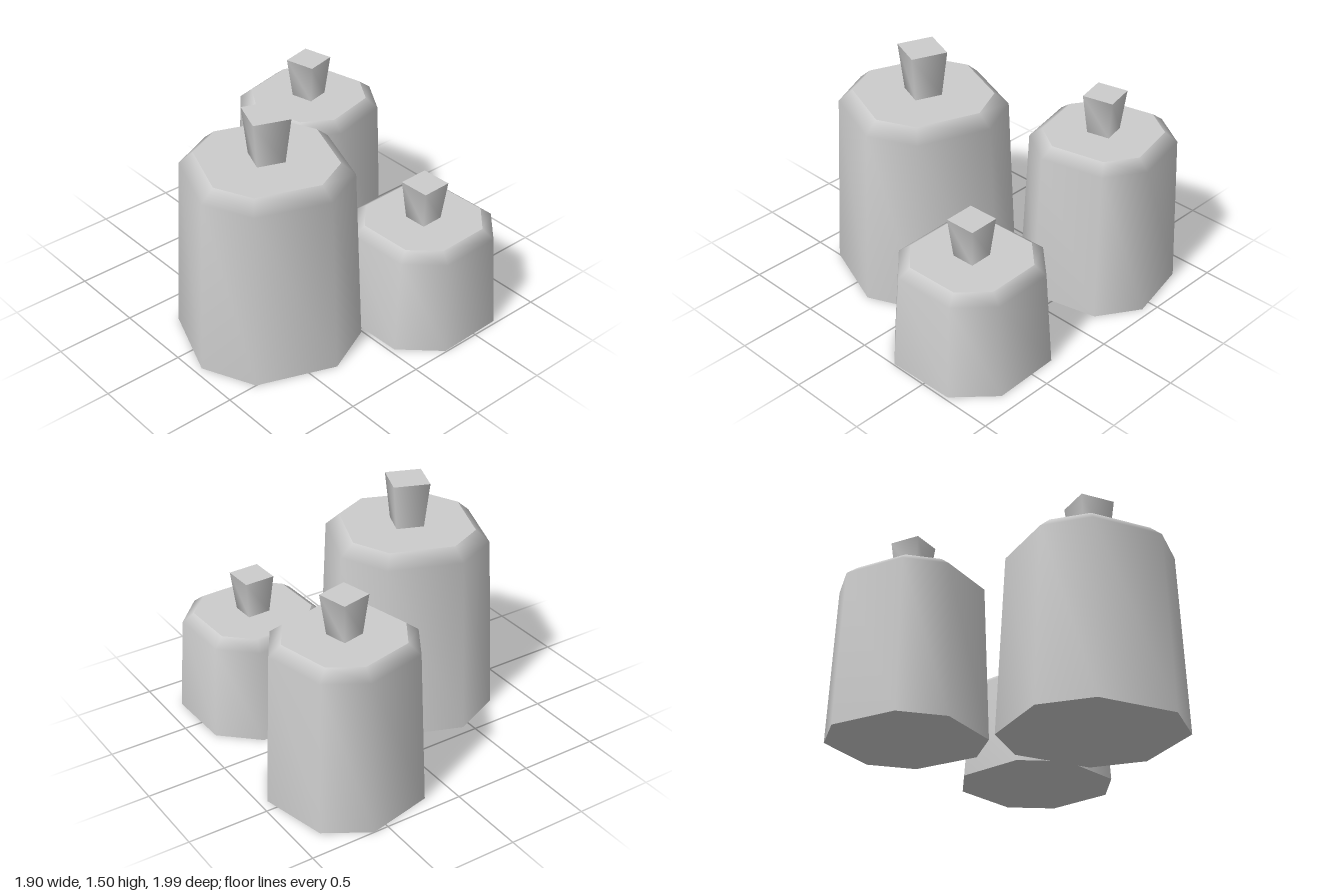
import * as THREE from 'three';

const material = new THREE.MeshStandardMaterial({ color: 0xcccccc });
const rad = THREE.MathUtils.degToRad;

// Square with clipped corners: two corners at +-half degrees around each side
function clippedSquare(radius, y, half) {
  const ring = [];
  for (let side = 0; side < 4; side++) {
    for (const offset of [-half, half]) {
      const a = rad(side * 90 + offset);
      ring.push([radius * Math.cos(a), y, radius * Math.sin(a)]);
    }
  }
  return ring;
}

function square(h, y) {
  return [[h, y, -h], [h, y, h], [-h, y, h], [-h, y, -h]];
}

function makeGeometry(points, index) {
  const geometry = new THREE.BufferGeometry();
  geometry.setAttribute('position', new THREE.Float32BufferAttribute(points.flat(), 3));
  geometry.setIndex(index);
  geometry.computeVertexNormals();
  return geometry;
}

// Smooth skin through a stack of rings, listed from bottom to top
function loft(rings) {
  const n = rings[0].length;
  const index = [];
  for (let r = 0; r < rings.length - 1; r++) {
    for (let j = 0; j < n; j++) {
      const k = (j + 1) % n;
      const a = r * n + j, b = r * n + k, c = b + n, d = a + n;
      index.push(a, d, c, a, c, b);
    }
  }
  return makeGeometry(rings.flat(), index);
}

// Flat polygon closing a ring
function cap(ring, up) {
  const index = [];
  for (let j = 1; j < ring.length - 1; j++) {
    index.push(...(up ? [0, j + 1, j] : [0, j, j + 1]));
  }
  return makeGeometry(ring, index);
}

// Closed solid with smooth sides and flat ends
function solid(name, rings) {
  const group = new THREE.Group();
  group.name = name;
  const parts = {
    Sides: loft(rings),
    Base: cap(rings[0], false),
    Top: cap(rings[rings.length - 1], true),
  };
  for (const [suffix, geometry] of Object.entries(parts)) {
    const mesh = new THREE.Mesh(geometry, material);
    mesh.name = name + suffix;
    group.add(mesh);
  }
  return group;
}

function canister({ name, x, z, turn, radii, shoulder, top, knobTop, knob }) {
  const group = new THREE.Group();
  group.name = name;
  // Tapered body with a sloping shoulder
  group.add(solid('body', [
    clippedSquare(radii[0], 0, 26.5),
    clippedSquare(radii[1], shoulder, 26.7),
    clippedSquare(radii[2], top, 27.7),
  ]));
  // Knob widening upward
  group.add(solid('knob', [square(knob[0], top), square(knob[1], knobTop)]));
  group.position.set(x, 0, z);
  group.rotation.y = -rad(turn);
  return group;
}

export function createModel() {
  const model = new THREE.Group();
  model.name = 'canisterSet';
  model.add(
    canister({ name: 'largeCanister', x: -0.391, z: 0.116, turn: 20.8, radii: [0.565, 0.512, 0.427],
      shoulder: 1.135, top: 1.21, knobTop: 1.5, knob: [0.085, 0.112] }),
    canister({ name: 'mediumCanister', x: 0.481, z: -0.532, turn: -13, radii: [0.481, 0.442, 0.365],
      shoulder: 0.97, top: 1.03, knobTop: 1.28, knob: [0.072, 0.097] }),
    canister({ name: 'smallCanister', x: 0.455, z: 0.556, turn: -1.7, radii: [0.481, 0.438, 0.365],
      shoulder: 0.6, top: 0.655, knobTop: 0.9, knob: [0.073, 0.097] }),
  );
  return model;
}
